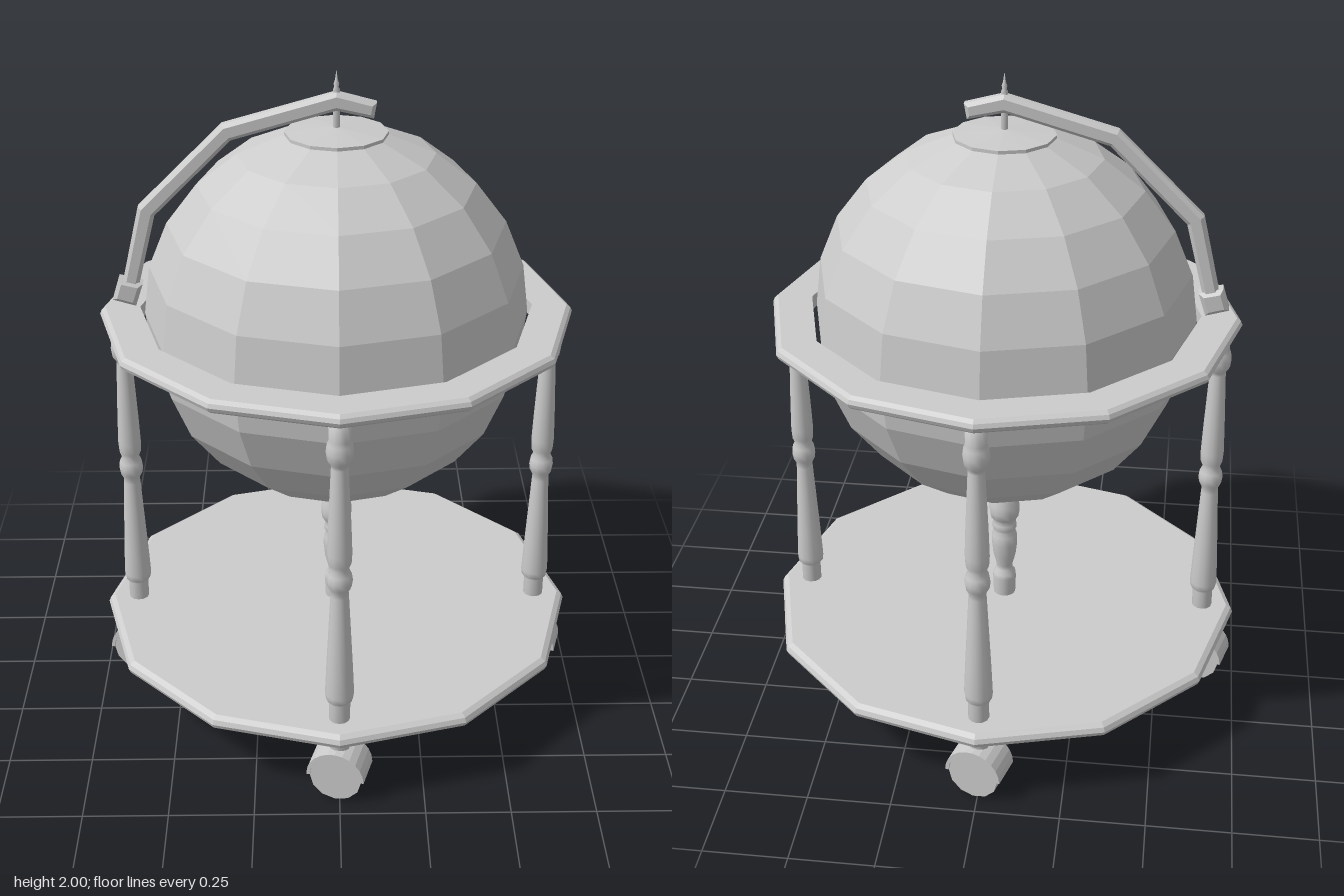
import * as THREE from 'three';

const mat = new THREE.MeshStandardMaterial({ color: 0xcccccc, flatShading: true });
const smoothMat = new THREE.MeshStandardMaterial({ color: 0xcccccc });

function add(parent, name, geometry, x = 0, y = 0, z = 0, material = mat) {
  const mesh = new THREE.Mesh(geometry, material);
  mesh.name = name;
  mesh.position.set(x, y, z);
  parent.add(mesh);
  return mesh;
}

// Turned part from [radius, height] pairs, listed bottom to top
const turned = (pairs, sides) =>
  new THREE.LatheGeometry(pairs.map(([r, y]) => new THREE.Vector2(r, y)), sides);

// Flat outline in x/y, extruded and bevelled evenly about z = 0
function plate(points, depth, bevel) {
  const shape = new THREE.Shape(points.map(([x, y]) => new THREE.Vector2(x, y)));
  const geometry = new THREE.ExtrudeGeometry(shape, {
    depth: depth - 2 * bevel, bevelEnabled: true, bevelThickness: bevel,
    bevelSize: bevel, bevelOffset: -bevel, bevelSegments: 1,
  });
  return geometry.translate(0, 0, -depth / 2 + bevel);
}

function createCaster() {
  const caster = new THREE.Group();
  caster.name = 'caster';
  const wheel = new THREE.CylinderGeometry(0.078, 0.078, 0.096, 12).rotateX(Math.PI / 2);
  add(caster, 'wheel', wheel, 0, 0.078, 0);
  // Half-round cover over the wheel
  const arch = new THREE.Shape();
  arch.absarc(0, 0, 0.087, 0, Math.PI, false);
  arch.absarc(0, 0, 0.076, Math.PI, 0, true);
  const hood = new THREE.ExtrudeGeometry(arch, { depth: 0.106, bevelEnabled: false, curveSegments: 6 });
  add(caster, 'wheelHood', hood.translate(0, 0, -0.053), 0, 0.079, 0);
  caster.rotation.y = -0.28;
  return caster;
}

export function createModel() {
  const model = new THREE.Group();
  model.name = 'globeStand';

  // Globe with its two pole caps
  add(model, 'globe', new THREE.SphereGeometry(0.567, 12, 12), 0, 1.266, 0);
  const cap = [[0, 0], [0.148, 0], [0.148, 0.012], [0, 0.025]];
  add(model, 'topCap', turned(cap, 12), 0, 1.811, 0);
  add(model, 'bottomCap', turned(cap, 12), 0, 0.721, 0).rotation.x = Math.PI;

  // Horizon ring with a rounded outer rim
  add(model, 'horizonRing', turned([
    [0.58, 1.243], [0.683, 1.243], [0.695, 1.252], [0.7, 1.264], [0.695, 1.276],
    [0.683, 1.285], [0.58, 1.285], [0.58, 1.243],
  ], 12));

  // Base board
  add(model, 'baseBoard', turned([
    [0, 0.216], [0.716, 0.216], [0.731, 0.226], [0.737, 0.24], [0.731, 0.254], [0.716, 0.264], [0, 0.264],
  ], 12));

  // Four turned legs, each on a caster
  const leg = turned([
    [0, 0.14], [0.031, 0.14], [0.031, 0.325], [0.039, 0.335], [0.042, 0.355], [0.038, 0.45], [0.026, 0.69],
    [0.025, 0.705], [0.034, 0.722], [0.037, 0.742], [0.034, 0.763], [0.026, 0.78],
    [0.033, 0.797], [0.035, 0.83], [0.032, 0.92], [0.024, 1.1], [0.024, 1.11],
    [0.035, 1.125], [0.038, 1.15], [0.035, 1.173], [0.03, 1.186], [0.031, 1.246], [0, 1.246],
  ], 12);
  for (let i = 0; i < 4; i++) {
    const a = i * Math.PI / 2;
    const x = 0.638 * Math.sin(a), z = 0.638 * Math.cos(a);
    add(model, 'leg', leg, x, 0, z, smoothMat);
    const caster = createCaster();
    caster.position.set(x, 0, z);
    model.add(caster);
  }

  // Central post under the globe
  add(model, 'centrePost', turned([
    [0, 0.21], [0.03, 0.21], [0.035, 0.264], [0.037, 0.325], [0.036, 0.34], [0.026, 0.355], [0.026, 0.37],
    [0.036, 0.41], [0.041, 0.455], [0.04, 0.485], [0.032, 0.5], [0.038, 0.51], [0.038, 0.528], [0.032, 0.54],
    [0.044, 0.552], [0.048, 0.575], [0.047, 0.6], [0.037, 0.65], [0.022, 0.69], [0.022, 0.73], [0, 0.73],
  ], 12), 0, 0, 0, smoothMat);

  // Half-meridian arm and the clamp at its foot
  add(model, 'meridianArm', plate([
    [-0.635, 1.33], [-0.588, 1.322], [-0.523, 1.576], [-0.298, 1.8], [0, 1.885], [0.105, 1.862],
    [0.113, 1.908], [0, 1.938], [-0.322, 1.847], [-0.57, 1.602],
  ], 0.042, 0.011));
  add(model, 'armClamp', plate([
    [-0.658, 1.316], [-0.59, 1.296], [-0.567, 1.365], [-0.637, 1.383],
  ], 0.058, 0.012));

  // Pole pin with finial
  add(model, 'polePin', turned([
    [0, 1.82], [0.01, 1.82], [0.01, 1.945], [0.006, 1.95], [0.008, 1.96], [0.004, 1.972], [0, 2],
  ], 8), 0, 0, 0, smoothMat);

  return model;
}
